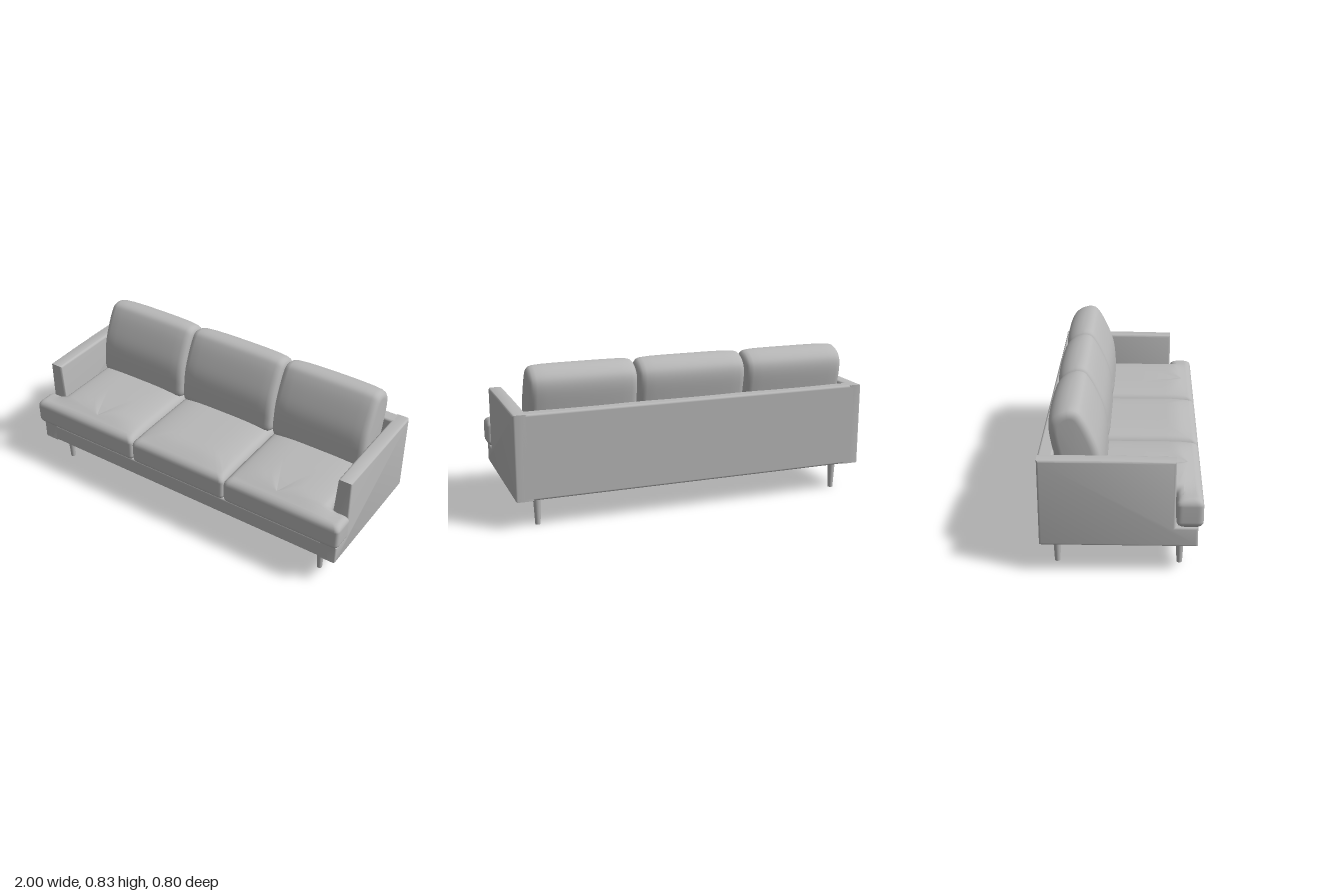
import * as THREE from 'three';
import { toCreasedNormals } from 'three/addons/utils/BufferGeometryUtils.js';
import { RoundedBoxGeometry } from 'three/addons/geometries/RoundedBoxGeometry.js';

const V = (x, y, z) => new THREE.Vector3(x, y, z);

// Smooth skin over closed rings of equal length (axis x tangent = outward)
function loft(rings) {
  const n = rings[0].length, pos = [], idx = [];
  rings.forEach(r => r.forEach(p => pos.push(p.x, p.y, p.z)));
  for (let i = 0; i < rings.length - 1; i++) {
    for (let j = 0; j < n; j++) {
      const k = (j + 1) % n;
      const a = i * n + j, b = i * n + k, d = a + n, c = b + n;
      idx.push(a, d, b, b, d, c);
    }
  }
  const g = new THREE.BufferGeometry();
  g.setAttribute('position', new THREE.Float32BufferAttribute(pos, 3));
  g.setIndex(idx);
  g.computeVertexNormals();
  return g;
}

// Rounded outline in x/z; corners are [x, z, insetDirX, insetDirZ]
function outline(corners, inset, r) {
  const pts = corners.map(c => new THREE.Vector2(c[0] + c[2] * inset, c[1] + c[3] * inset));
  const n = pts.length, out = [];
  const toward = (p, q) => p.clone().add(q.clone().sub(p).setLength(r));
  for (let i = 0; i < n; i++) {
    const p = pts[i], next = pts[(i + 1) % n];
    const end = toward(p, next);
    out.push(...new THREE.QuadraticBezierCurve(toward(p, pts[(i + n - 1) % n]), p, end).getPoints(5));
    const start = toward(next, p);
    for (let k = 1; k < 10; k++) out.push(end.clone().lerp(start, k / 10));
  }
  return out;
}

// Seat cushion: rounded sides, crowned top
function seatCushion(corners, cx, cz, x0, x1, mirror) {
  const y0 = 0.26, y1 = 0.415, R = 0.036;
  const levels = [[0, R, y0], [0.6, R, y0]];
  for (let i = 0; i <= 5; i++) {
    const t = i / 5 * Math.PI / 2;
    levels.push([1, R * (1 - Math.sin(t)), y0 + R * (1 - Math.cos(t))]);
  }
  for (let i = 0; i <= 5; i++) {
    const t = i / 5 * Math.PI / 2;
    levels.push([1, R * (1 - Math.cos(t)), y1 - R * (1 - Math.sin(t))]);
  }
  [0.93, 0.84, 0.72, 0.58, 0.42, 0.22, 0].forEach(s => levels.push([s, R, y1]));
  const rings = levels.map(([s, inset, y]) => {
    const ring = outline(corners, inset, 0.025).map(p => {
      const x = cx + (p.x - cx) * s, z = cz + (p.y - cz) * s;
      const u = Math.min(1, Math.abs((x - (x0 + x1) / 2) / ((x1 - x0) / 2)));
      const crown = 0.03 * (1 - u ** 4) * (1 - THREE.MathUtils.smoothstep(z, 0.27, 0.4));
      return V(mirror ? -x : x, y + crown * (y - y0) / (y1 - y0), z);
    });
    return mirror ? ring.reverse() : ring;
  });
  return loft(rings);
}

// Back cushion: leaning pillow section swept sideways with soft ends
function backCushion(x0, x1) {
  const section = new THREE.CatmullRomCurve3([
    V(0, 0.41, -0.09), V(0, 0.5, -0.082), V(0, 0.61, -0.097), V(0, 0.71, -0.135), V(0, 0.79, -0.178),
    V(0, 0.82, -0.205), V(0, 0.828, -0.245), V(0, 0.812, -0.3), V(0, 0.775, -0.342), V(0, 0.73, -0.354),
    V(0, 0.61, -0.338), V(0, 0.5, -0.315), V(0, 0.41, -0.29)
  ], true).getPoints(64).slice(0, 64);
  const half = (x1 - x0) / 2, mid = (x0 + x1) / 2;
  const stations = [[0, 0], [0, 0.045], [0.003, 0.03], [0.009, 0.019], [0.02, 0.009],
    [0.04, 0.004], [0.09, 0.001], [0.18, 0], [half, 0]];
  const all = [...stations.map(([d, k]) => [x0 + d, k]),
    ...stations.slice(0, -1).reverse().map(([d, k]) => [x1 - d, k])];
  const rings = all.map(([x, k], i) => {
    const tip = i === 0 || i === all.length - 1;
    const bow = 1 - ((x - mid) / half) ** 2;
    return section.map(p => {
      if (tip) return V(x, 0.6, -0.22);
      const y = p.y + (0.61 - p.y) / 0.21 * k;
      const axis = -0.175 - (p.y - 0.41) * 0.2;
      const z = p.z + (axis - p.z) / 0.11 * k;
      return V(x, y, z - (p.z < axis ? 0.008 * bow - 0.004 : 0));
    });
  });
  return loft(rings);
}

// Arm panel with a low front step, inner face leaning outward
function armGeometry(side) {
  const b = 0.012, s = new THREE.Shape();
  [[-0.4, 0.155], [0.375, 0.155], [0.375, 0.26], [0.265, 0.26], [0.265, 0.607], [0, 0.611], [-0.4, 0.611]]
    .forEach(([z, y], i) => {
      const cy = y < 0.2 ? y + b : y - b, cz = z < -0.3 ? z + b : z > 0.1 ? z - b : z;
      if (i) s.lineTo(-cz, cy); else s.moveTo(-cz, cy);
    });
  const g = new THREE.ExtrudeGeometry(s, {
    depth: 0.1 - 2 * b, bevelEnabled: true, bevelThickness: b, bevelSize: b, bevelSegments: 4, curveSegments: 4
  });
  // Shape x is -z, so a quarter turn puts the thickness along x
  g.rotateY(Math.PI / 2);
  g.translate(side > 0 ? 0.885 + b : -0.985 + b, 0, 0);
  const p = g.attributes.position;
  for (let i = 0; i < p.count; i++) {
    const x = p.getX(i), y = p.getY(i);
    if (Math.abs(x) < 0.935 && y > 0.42) p.setX(i, x + side * 0.025 * (y - 0.42) / 0.19);
  }
  return toCreasedNormals(g, 0.6);
}

export function createModel() {
  const group = new THREE.Group();
  const fabric = new THREE.MeshStandardMaterial({ color: 0xb8b8b8 });
  fabric.name = 'grey fabric';
  const add = (name, geometry, x = 0, y = 0, z = 0) => {
    const m = new THREE.Mesh(geometry, fabric);
    m.name = name;
    m.position.set(x, y, z);
    group.add(m);
  };

  // Frame
  add('base', new RoundedBoxGeometry(1.9, 0.105, 0.775, 4, 0.012), 0, 0.2075, -0.0125);
  add('backPanel', new RoundedBoxGeometry(1.9, 0.456, 0.075, 4, 0.012), 0, 0.383, -0.3625);
  add('leftArm', armGeometry(1));
  add('rightArm', armGeometry(-1));

  // Seat cushions; the outer two wrap around the arm fronts
  const zb = -0.3, zf = 0.4;
  const middle = [[0.304, zb, -1, 1], [0.304, zf, -1, -1], [-0.304, zf, 1, -1], [-0.304, zb, 1, 1]];
  const outer = [[0.888, zb, -1, 1], [0.888, 0.268, -1, 1], [1, 0.268, -1, 1],
    [1, zf, -1, -1], [0.306, zf, 1, -1], [0.306, zb, 1, 1]];
  add('middleSeatCushion', seatCushion(middle, 0, 0.05, -0.304, 0.304, false));
  add('leftSeatCushion', seatCushion(outer, 0.6, 0.333, 0.306, 0.92, false));
  add('rightSeatCushion', seatCushion(outer, 0.6, 0.333, 0.306, 0.92, true));

  // Back cushions
  add('rightBackCushion', backCushion(-0.89, -0.308));
  add('middleBackCushion', backCushion(-0.304, 0.301));
  add('leftBackCushion', backCushion(0.305, 0.882));

  // Tapered legs
  for (const x of [-0.86, 0.86]) {
    for (const z of [0.291, -0.322]) {
      add(z > 0 ? 'frontLeg' : 'backLeg', new THREE.CylinderGeometry(0.022, 0.014, 0.16, 20), x, 0.08, z);
    }
  }
  return group;
}
